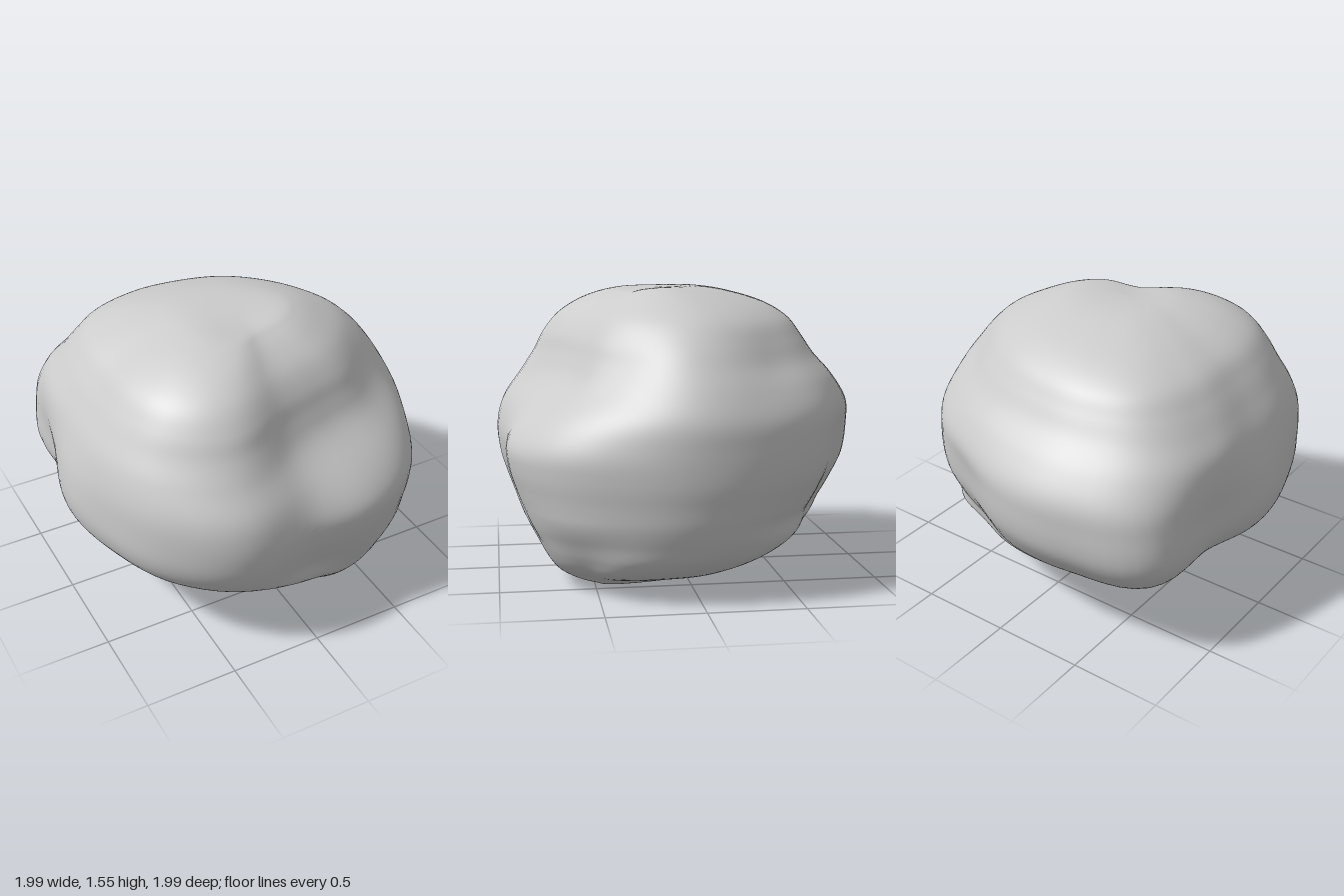
import * as THREE from 'three';
import { mergeVertices } from 'three/addons/utils/BufferGeometryUtils.js';

// Horizontal cross-sections, bottom to top: y, min x, max x, min z, max z
const RINGS = [
  [0, 0.37, 0.37, 0.42, 0.42],
  [0.015, 0.22, 0.48, 0.28, 0.55],
  [0.06, 0.08, 0.6, 0.03, 0.66],
  [0.12, -0.06, 0.78, -0.16, 0.72],
  [0.2, -0.25, 0.88, -0.42, 0.78],
  [0.3, -0.57, 0.93, -0.69, 0.85],
  [0.4, -0.84, 0.96, -0.81, 0.895],
  [0.5, -0.95, 0.975, -0.89, 0.935],
  [0.62, -0.995, 0.99, -0.955, 0.97],
  [0.78, -0.995, 0.99, -0.98, 0.985],
  [0.92, -0.98, 0.975, -0.98, 0.96],
  [1.06, -0.94, 0.91, -0.9, 0.87],
  [1.18, -0.87, 0.83, -0.79, 0.79],
  [1.28, -0.8, 0.75, -0.72, 0.735],
  [1.38, -0.71, 0.64, -0.64, 0.65],
  [1.46, -0.56, 0.5, -0.5, 0.53],
  [1.52, -0.39, 0.36, -0.3, 0.4],
  [1.55, -0.24, 0.23, -0.12, 0.29],
  [1.56, -0.02, -0.02, 0.1, 0.1],
];

// Outlines of the underside, waist and crown: radius every 22.5 degrees, from +x towards +z
const LOW = [1, 0.95, 0.86, 0.93, 1, 1.05, 1.08, 1.03, 1,
  1, 1, 1, 1, 1.08, 1.22, 1.08];
const WAIST = [1, 1.01, 1.04, 1.02, 0.95, 1.08, 1.07, 1.01, 1,
  0.985, 1.16, 1.08, 0.99, 0.9, 0.945, 0.99];
const CROWN = [1, 0.95, 0.87, 0.78, 0.82, 1.06, 1.09, 1.02, 0.96,
  1.04, 1.13, 1.06, 0.97, 0.94, 0.93, 0.96];

// Local hollows and swellings: x, y, z, reach, height
const BUMPS = [
  [-0.02, 1.5, 0.25, 0.2, -0.03],
  [0.62, 1.18, 0.35, 0.2, -0.025],
  [0.64, 1.18, -0.4, 0.2, -0.025],
  [-0.7, 0.52, -0.7, 0.25, 0.04],
  [0.1, 0.72, 0.95, 0.25, 0.015],
  [-0.45, 1.35, 0.4, 0.28, 0.03],
];

// Smooth curve through four neighbouring values
function spline(a, b, c, d, t) {
  return b + 0.5 * t * (c - a + t * (2 * a - 5 * b + 4 * c - d + t * (3 * (b - c) + d - a)));
}

function ringAt(s) {
  const last = RINGS.length - 1;
  const i = Math.min(Math.floor(s), last - 1);
  const row = (k) => RINGS[Math.max(0, Math.min(last, k))];
  return RINGS[0].map((_, k) =>
    spline(row(i - 1)[k], row(i)[k], row(i + 1)[k], row(i + 2)[k], s - i));
}

function planAt(plan, turn) {
  const n = plan.length, s = turn * n, i = Math.floor(s);
  const p = (k) => plan[(k + n) % n];
  return spline(p(i - 1), p(i), p(i + 1), p(i + 2), s - i);
}

// Outline radius at a height: underside blends into waist, waist into crown
function outline(y, turn) {
  const { lerp, smoothstep } = THREE.MathUtils;
  const lower = lerp(planAt(LOW, turn), planAt(WAIST, turn), smoothstep(y, 0.06, 0.42));
  return lerp(lower, planAt(CROWN, turn), smoothstep(y, 0.68, 1.12));
}

function rockGeometry(rows = 108, cols = 96) {
  const positions = [], index = [];
  const centre = new THREE.Vector3(0, 0.75, 0);
  const p = new THREE.Vector3(), out = new THREE.Vector3(), spot = new THREE.Vector3();

  for (let r = 0; r <= rows; r++) {
    const [y, x0, x1, z0, z1] = ringAt((r / rows) * (RINGS.length - 1));
    for (let c = 0; c < cols; c++) {
      const a = (c / cols) * Math.PI * 2;
      const radius = outline(y, c / cols);
      p.set((x0 + x1) / 2 + Math.cos(a) * radius * (x1 - x0) / 2, y,
        (z0 + z1) / 2 + Math.sin(a) * radius * (z1 - z0) / 2);
      out.copy(p).sub(centre).normalize();
      let push = 0;
      for (const [bx, by, bz, reach, height] of BUMPS) {
        push += height * Math.exp(-p.distanceToSquared(spot.set(bx, by, bz)) / (reach * reach));
      }
      p.addScaledVector(out, push);
      positions.push(p.x, Math.max(0, p.y), p.z);
    }
  }
  for (let r = 0; r < rows; r++) {
    for (let c = 0; c < cols; c++) {
      const a = r * cols + c, b = r * cols + (c + 1) % cols;
      index.push(a, a + cols, b, b, a + cols, b + cols);
    }
  }
  const g = new THREE.BufferGeometry();
  g.setAttribute('position', new THREE.Float32BufferAttribute(positions, 3));
  g.setIndex(index);
  const merged = mergeVertices(g, 1e-5); // closes the two poles
  merged.computeVertexNormals();
  return merged;
}

export function createModel() {
  const group = new THREE.Group();
  group.name = 'boulder';
  const rock = new THREE.Mesh(rockGeometry(), new THREE.MeshStandardMaterial({ color: 0xcccccc }));
  rock.name = 'rock';
  group.add(rock);
  return group;
}
